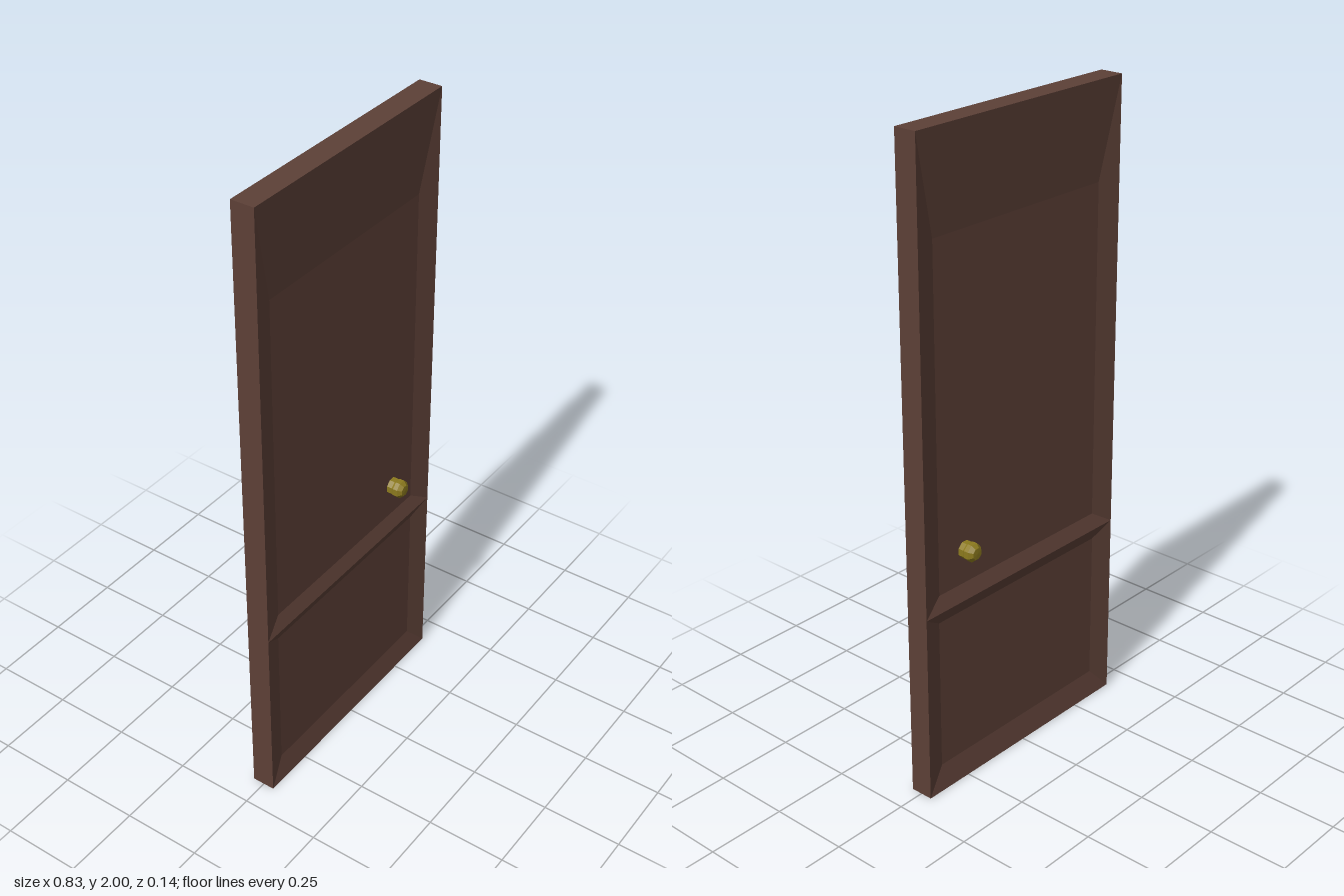
import * as THREE from 'three';

const W = 0.414, H = 2, RAIL = 0.6, FRONT = 0.0355, BACK = -0.0375, DEPTH = 0.018;

// Flat-shaded geometry from quads whose corners run counter-clockwise seen from outside
function quads(list) {
  const pos = [];
  for (const [a, b, c, d] of list) pos.push(...a, ...b, ...c, ...a, ...c, ...d);
  const g = new THREE.BufferGeometry();
  g.setAttribute('position', new THREE.Float32BufferAttribute(pos, 3));
  g.computeVertexNormals();
  return g;
}

const rect = (x, y0, y1, z) => [[-x, y0, z], [x, y0, z], [x, y1, z], [-x, y1, z]];

// Sloped faces joining two four-cornered loops
const band = (outer, inner) => outer.map((p, i) => {
  const j = (i + 1) % 4;
  return [p, outer[j], inner[j], inner[i]];
});

// Recessed panel with bevels running down to a flat floor
function panelGeometry(y0, y1, innerX, innerY0, innerY1, z) {
  const outer = rect(W, y0, y1, z);
  const inner = rect(innerX, innerY0, innerY1, z - DEPTH);
  return quads([...band(outer, inner), inner]);
}

export function createModel() {
  const wood = new THREE.MeshStandardMaterial({ color: 0x5d4037 });
  wood.name = 'brown wood';
  const brass = new THREE.MeshStandardMaterial({ color: 0x8c7a1e, flatShading: true });
  brass.name = 'old brass';

  const door = new THREE.Group();
  door.name = 'door';
  const add = (parent, name, geometry, material) => {
    const mesh = new THREE.Mesh(geometry, material);
    mesh.name = name;
    parent.add(mesh);
    return mesh;
  };

  // Outer edges of the slab
  add(door, 'doorEdges', quads(band(rect(W, 0, H, BACK), rect(W, 0, H, FRONT))), wood);

  // Knob outline: straight barrel with a chamfered cap
  const knobProfile = [[0.027, 0], [0.029, 0.006], [0.029, 0.02], [0.018, 0.032], [0, 0.033]]
    .map(([r, h]) => new THREE.Vector2(r, h));

  // Both faces carry the same panels and a knob
  for (const [name, z, side] of [['front', FRONT, 1], ['back', -BACK, -1]]) {
    const face = new THREE.Group();
    face.name = name + 'Face';
    if (side < 0) face.rotation.y = Math.PI;
    add(face, name + 'UpperPanel', panelGeometry(RAIL, H, 0.342, 0.645, 1.7, z), wood);
    add(face, name + 'LowerPanel', panelGeometry(0, RAIL, 0.345, 0.075, 0.557, z), wood);
    const knob = add(face, name + 'Knob', new THREE.LatheGeometry(knobProfile, 8, Math.PI / 8), brass);
    knob.rotation.x = Math.PI / 2;
    knob.position.set(side * 0.235, 0.753, z - 0.001);
    // Short shank reaching the recessed panel
    const shank = add(face, name + 'KnobShank', new THREE.CylinderGeometry(0.027, 0.027, 0.02, 8, 1, true, Math.PI / 8), brass);
    shank.rotation.x = Math.PI / 2;
    shank.position.set(side * 0.235, 0.753, z - 0.011);
    door.add(face);
  }
  return door;
}
